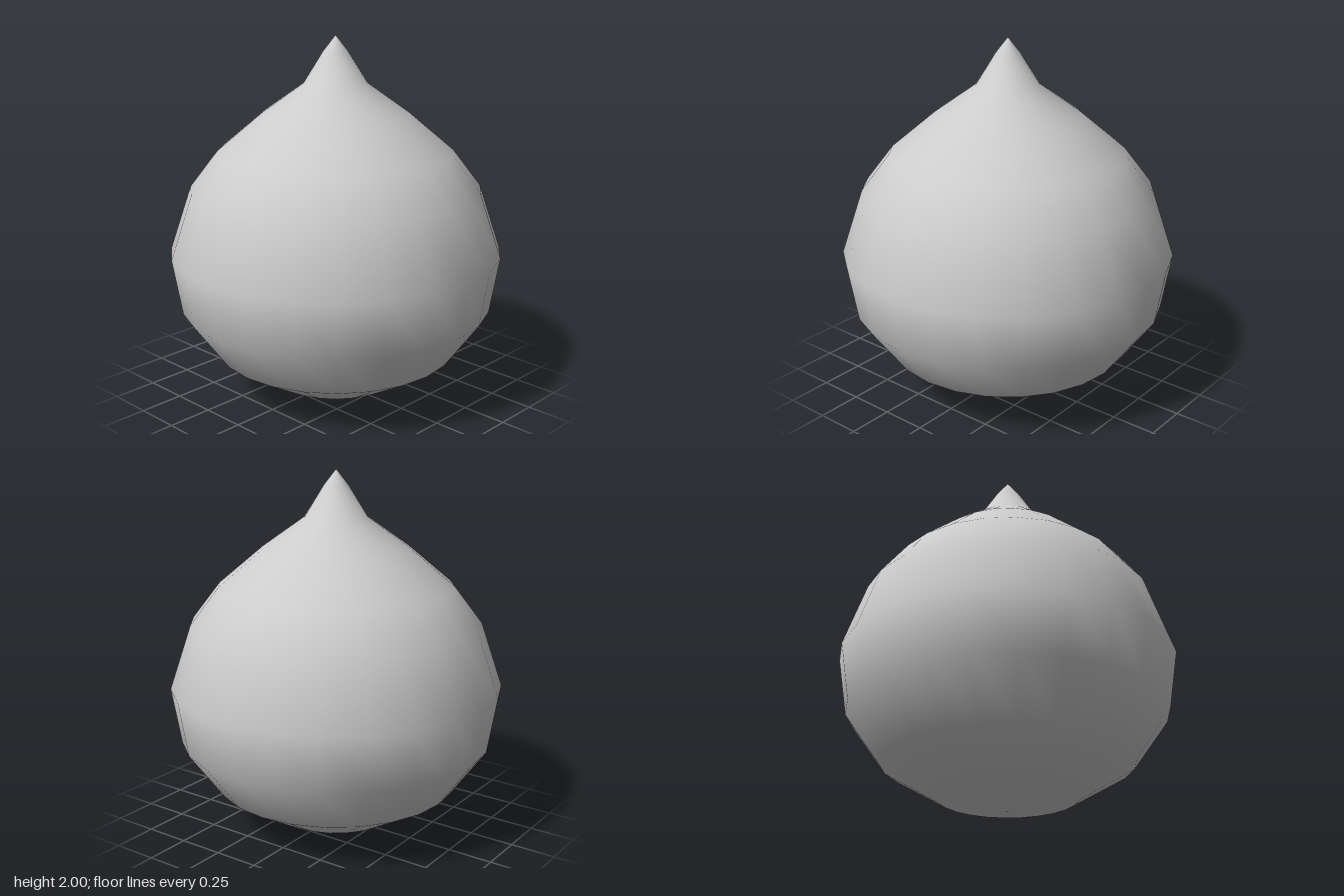
import * as THREE from 'three';

export function createModel() {
  const group = new THREE.Group();
  group.name = 'droplet';

  // Half outline from the base, round the belly, up to the pointed tip
  const outline = [
    [0, 0], [0.37, 0.066], [0.675, 0.245], [0.866, 0.512], [0.917, 0.824],
    [0.798, 1.176], [0.645, 1.375], [0.4, 1.582], [0.172, 1.745],
    [0.068, 1.913], [0, 2],
  ].map(([r, y]) => new THREE.Vector2(r, y));

  // One smooth-shaded body of 24 sides
  const body = new THREE.Mesh(
    new THREE.LatheGeometry(outline, 24),
    new THREE.MeshStandardMaterial({ color: 0xcccccc })
  );
  body.name = 'dropletBody';
  group.add(body);
  return group;
}
